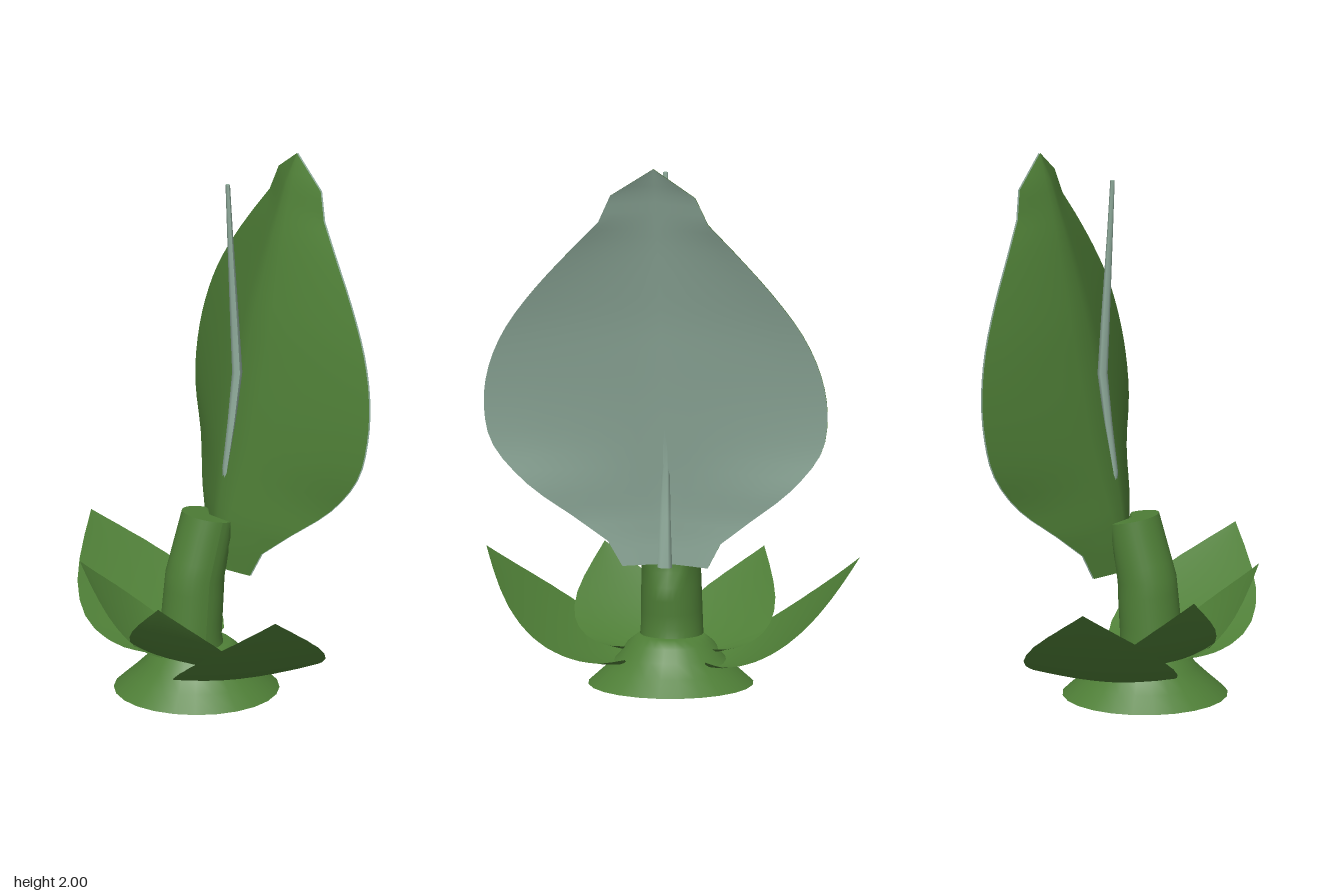
import * as THREE from 'three';

const green = new THREE.MeshStandardMaterial({ color: 0x4f7f37, side: THREE.DoubleSide });
green.name = 'leafGreen';
const pale = new THREE.MeshStandardMaterial({ color: 0x90ac9c, side: THREE.DoubleSide });
pale.name = 'paleUnderside';

function add(parent, name, geometry, material) {
  const mesh = new THREE.Mesh(geometry, material);
  mesh.name = name;
  parent.add(mesh);
  return mesh;
}

// Linear lookup in evenly spaced rows, t from 0 to 1
function sample(rows, t) {
  const f = t * (rows.length - 1);
  const i = Math.min(Math.floor(f), rows.length - 2);
  return rows[i].map((v, k) => v + (rows[i + 1][k] - v) * (f - i));
}

// Lookup with a smooth curve through the rows, straight near both ends
function sampleLeaf(rows, t) {
  const f = t * (rows.length - 1);
  const i = Math.min(Math.floor(f), rows.length - 2), u = f - i;
  if (i < 2 || i > 8) return sample(rows, t);
  return rows[i].map((v, k) => {
    const q = rows[i + 1][k], d = q - v;
    const m0 = (q - rows[i - 1][k]) / 2, m1 = (rows[i + 2][k] - v) / 2;
    return v + u * (m0 + u * (3 * d - 2 * m0 - m1 + u * (m0 + m1 - 2 * d)));
  });
}

// Smooth sheet: point(t, s) with t along (0..1) and s across (-1..1)
function sheet(nt, ns, point, flip = false) {
  const positions = [], index = [];
  for (let i = 0; i <= nt; i++)
    for (let j = 0; j <= ns; j++) positions.push(...point(i / nt, (j / ns) * 2 - 1));
  for (let i = 0; i < nt; i++)
    for (let j = 0; j < ns; j++) {
      const a = i * (ns + 1) + j, b = a + 1, c = a + ns + 1, d = c + 1;
      if (flip) index.push(a, b, c, b, d, c);
      else index.push(a, c, b, b, c, d);
    }
  const g = new THREE.BufferGeometry();
  g.setAttribute('position', new THREE.Float32BufferAttribute(positions, 3));
  g.setIndex(index);
  g.computeVertexNormals();
  return g;
}

// Closed cylinder bent through stations [x, y, radiusX, radiusZ, tilt];
// maxX(y, z) limits how far it reaches towards +x
function bentRod(stations, sides, steps, maxX = () => Infinity) {
  const g = new THREE.CylinderGeometry(1, 1, 1, sides, steps);
  const p = g.attributes.position;
  for (let i = 0; i < p.count; i++) {
    const [x, y, rx, rz, tilt] = sample(stations, THREE.MathUtils.clamp(p.getY(i) + 0.5, 0, 1));
    const r = p.getX(i) * rx, py = y - r * Math.sin(tilt), pz = p.getZ(i) * rz;
    p.setXYZ(i, Math.min(x + r * Math.cos(tilt), maxX(py, pz)), py, pz);
  }
  g.computeVertexNormals();
  return g;
}

// Upright leaf rows: [height, half width, midrib x, edge x]
const bigLeafRows = [
  [0.48, 0.155, 0.02, 0.08], [0.575, 0.205, 0.024, 0.1], [0.67, 0.32, 0.034, 0.15],
  [0.8, 0.475, 0.055, 0.23], [0.95, 0.595, 0.085, 0.274], [1.1, 0.625, 0.115, 0.3],
  [1.25, 0.605, 0.147, 0.32], [1.4, 0.54, 0.18, 0.334], [1.55, 0.43, 0.219, 0.344],
  [1.7, 0.295, 0.26, 0.352], [1.8, 0.2, 0.29, 0.36], [1.9, 0.155, 0.32, 0.372],
  [2.0, 0, 0.36, 0.36],
];
// Point on the leaf, moved along x by a small offset
const bigLeafPoint = (offset) => (t, s) => {
  const [y, w, mid, edge] = sampleLeaf(bigLeafRows, t);
  return [mid + (edge - mid) * Math.pow(Math.abs(s), 1.2) + offset, y, s * w];
};

// Half width of a low leaf, as a share of its length
const lowLeafWidth = [0.14, 0.34, 0.42, 0.47, 0.495, 0.49, 0.45, 0.38, 0.275, 0.145, 0].map((w) => [w]);

// Low leaf curving up from base [x, y, z] to tip [x, y, z]
function lowLeaf(base, tip, breadth) {
  const dx = tip[0] - base[0], dz = tip[2] - base[2], len = Math.hypot(dx, dz);
  return sheet(20, 8, (t, s) => {
    const w = sample(lowLeafWidth, t)[0] * len * breadth * s;
    return [
      base[0] + dx * t + (dz / len) * w,
      base[1] + (tip[1] - base[1]) * Math.pow(t, 1.75) + 0.03 * s * s * (1 - t),
      base[2] + dz * t - (dx / len) * w,
    ];
  }, tip[2] > 0);
}

export function createModel() {
  const model = new THREE.Group();
  model.name = 'plant';

  // Flared foot with a closed underside
  const foot = new THREE.Group();
  foot.name = 'foot';
  foot.position.x = -0.055;
  model.add(foot);
  const profile = [[0.298, 0.03], [0.237, 0.085], [0.185, 0.135], [0.155, 0.18], [0.12, 0.208], [0, 0.208]];
  add(foot, 'footSide', new THREE.LatheGeometry(profile.map((p) => new THREE.Vector2(...p)), 24), green);
  const bottom = add(foot, 'footBottom', new THREE.CircleGeometry(0.298, 24), green);
  bottom.rotation.x = Math.PI / 2;
  bottom.position.y = 0.03;

  // Leaning stem, hollowed at the top where the upright leaf rests on it
  add(model, 'stem', bentRod([
    [-0.05, 0.019, 0.125, 0.125, -0.15],
    [-0.08, 0.24, 0.112, 0.112, 0.02],
    [-0.062, 0.46, 0.107, 0.107, 0.13],
    [-0.003, 0.68, 0.1, 0.1, 0.2],
  ], 32, 12, (y, z) => (y > 0.43 ? 0.014 + 0.3 * Math.abs(z) : Infinity)), green);

  // Upright leaf, green inside and pale outside
  const bigLeaf = new THREE.Group();
  bigLeaf.name = 'uprightLeaf';
  model.add(bigLeaf);
  add(bigLeaf, 'leafInside', sheet(36, 12, bigLeafPoint(-0.003), true), green);
  add(bigLeaf, 'leafOutside', sheet(36, 12, bigLeafPoint(0.003)), pale);

  // Thin pale vein that passes through the leaf
  add(model, 'vein', bentRod([
    [0.09, 0.48, 0.013, 0.027, 0],
    [0.079, 0.661, 0.012, 0.02, 0],
    [0.062, 0.8425, 0.009, 0.014, 0],
    [0.09, 1.024, 0.014, 0.018, 0],
    [0.112, 1.205, 0.018, 0.02, 0],
    [0.102, 1.386, 0.016, 0.018, 0],
    [0.092, 1.5675, 0.013, 0.015, 0],
    [0.082, 1.749, 0.01, 0.012, 0],
    [0.073, 1.93, 0.008, 0.009, 0],
  ], 6, 8), pale);

  // Two side leaves and two rear leaves
  for (const [side, m] of [['left', 1], ['right', -1]]) {
    add(model, side + 'SideLeaf', lowLeaf([0.008, 0.105, 0.13 * m], [-0.11, 0.5, 0.68 * m], 1), green);
    add(model, side + 'RearLeaf', lowLeaf([-0.05, 0.135, 0.07 * m], [-0.375, 0.475, 0.29 * m], 1.1), green);
  }
  return model;
}
